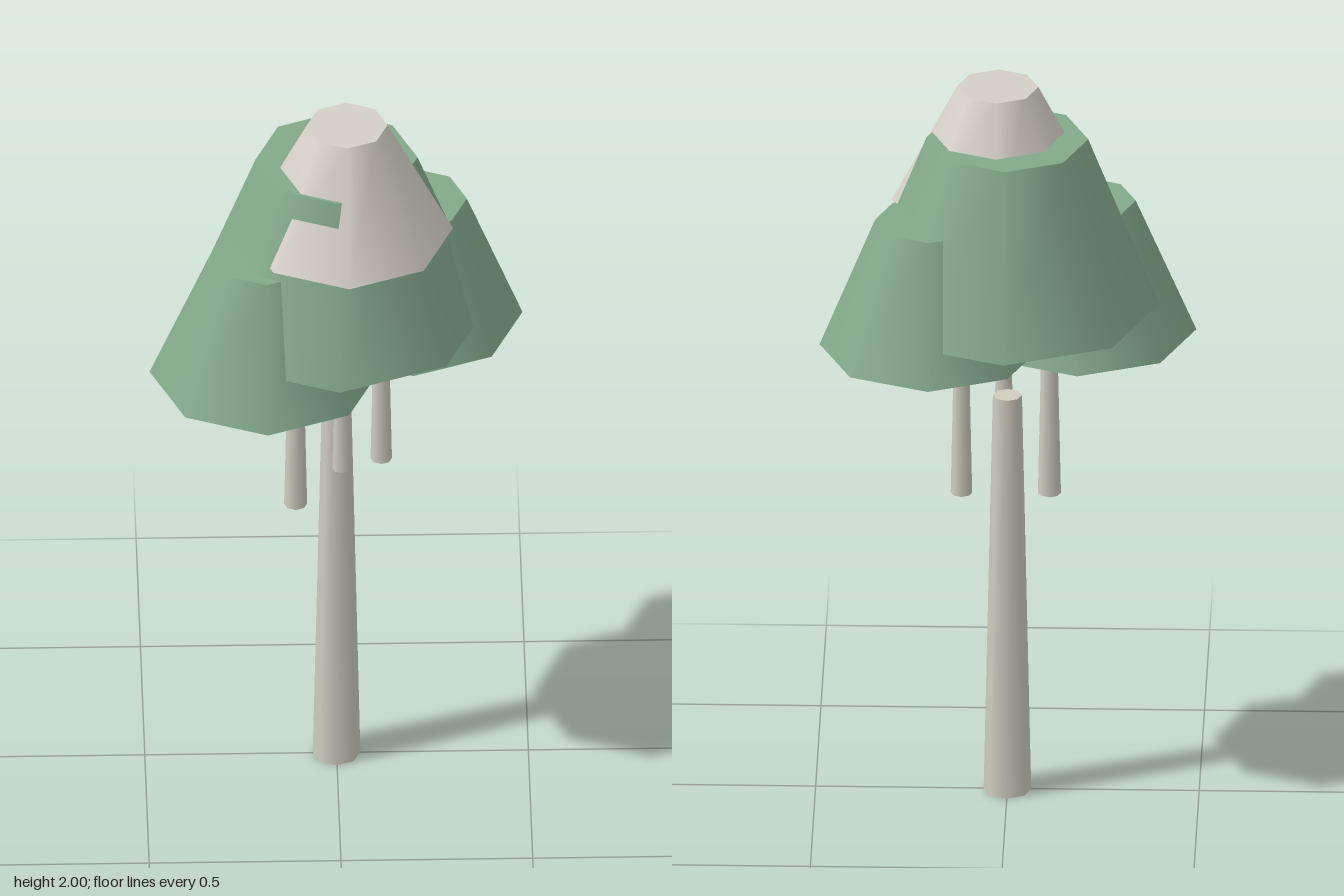
import * as THREE from 'three';

export function createModel() {
  const group = new THREE.Group();
  const mat = (name, color) => {
    const m = new THREE.MeshStandardMaterial({ color });
    m.name = name;
    return m;
  };
  const green = mat('leaf green', 0x84a98c);
  const cream = mat('pale cream', 0xd5cfc6);
  const bark = mat('pale bark', 0xd0cdc0);

  // Eight-sided tapered cylinder standing between two heights
  function frustum(name, material, x, z, y0, y1, rBottom, rTop) {
    const mesh = new THREE.Mesh(new THREE.CylinderGeometry(rTop, rBottom, y1 - y0, 8), material);
    mesh.name = name;
    mesh.position.set(x, (y0 + y1) / 2, z);
    group.add(mesh);
  }

  // Trunk and the thin stems under each crown
  frustum('trunk', bark, 0, -0.002, 0, 1.13, 0.062, 0.038);
  frustum('leftStem', bark, 0.118, -0.07, 0.88, 1.42, 0.028, 0.017);
  frustum('rightStem', bark, -0.108, 0.055, 0.825, 1.4, 0.03, 0.018);
  frustum('frontStem', bark, 0.012, 0.09, 0.96, 1.5, 0.025, 0.015);

  // Overlapping crowns
  frustum('mainCrown', green, 0, -0.009, 1.4, 1.87, 0.396, 0.211);
  frustum('leftCrown', green, 0.197, -0.1, 1.315, 1.675, 0.29, 0.145);
  frustum('rightCrown', green, -0.188, 0.1, 1.278, 1.645, 0.302, 0.144);
  frustum('topCrown', cream, 0.026, 0.031, 1.672, 2, 0.277, 0.106);

  return group;
}
